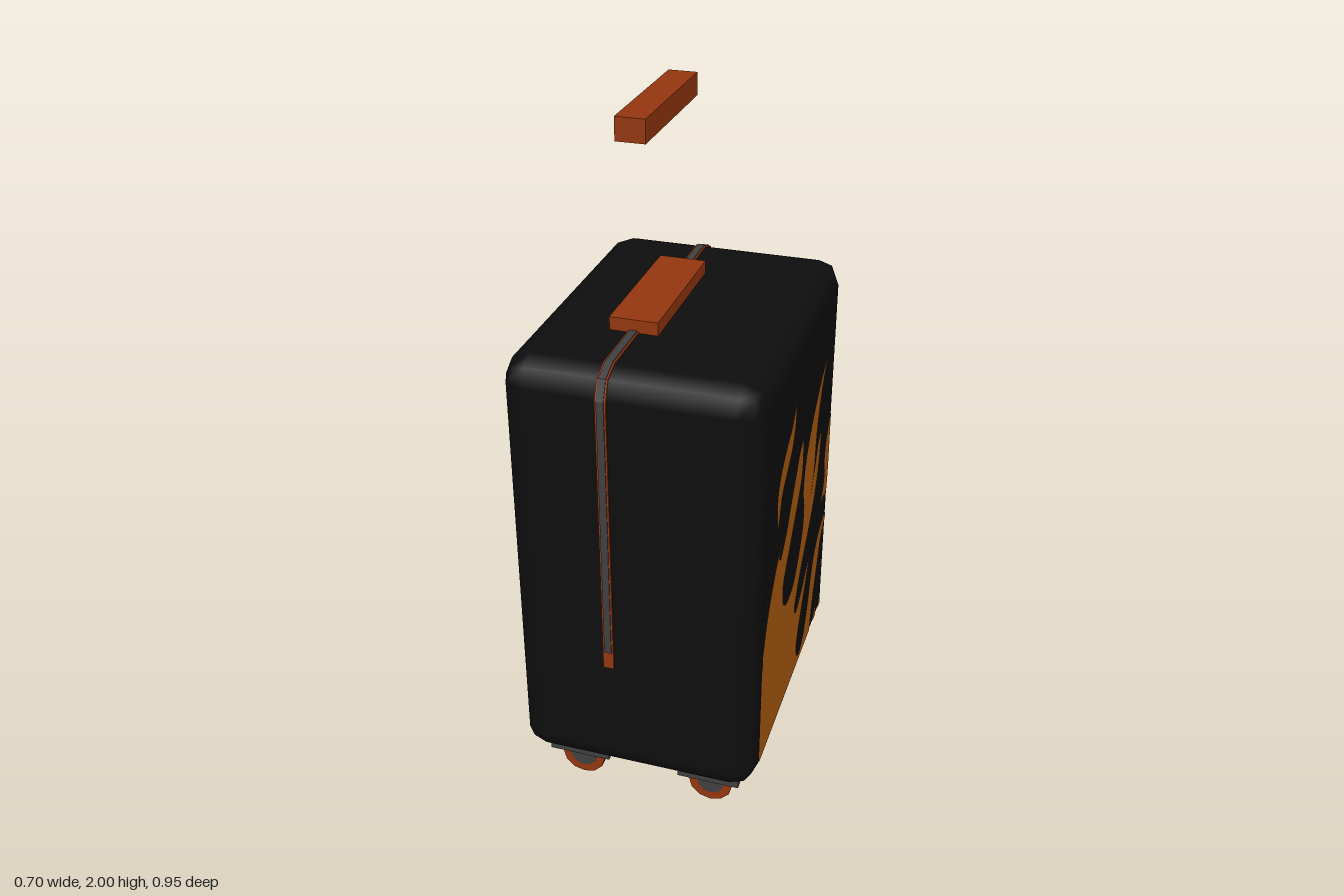
import * as THREE from 'three';
import { RoundedBoxGeometry } from 'three/addons/geometries/RoundedBoxGeometry.js';

const mat = (name, color, side = THREE.FrontSide) =>
  Object.assign(new THREE.MeshStandardMaterial({ color, side }), { name });

// Flame outlines in hundredths of a unit (across, up); each run is a smooth curve ending at a tip
const FLAME = [
  [[-40, 60], [-36.5, 69], [-31, 77.5], [-25.5, 83.5], [-21.5, 86]],
  [[-24, 82], [-22, 80.5]],
  [[-16.5, 85.5], [-12, 92], [-7.5, 98], [-3.5, 103.5], [0.5, 106.5]],
  [[1.3, 100], [0, 92], [-10, 79], [-15, 73], [-18, 68], [-17, 62], [-13.5, 59], [-9, 58.5], [-3.5, 60],
    [2, 66.5], [5.5, 73], [6, 80], [4, 86.5], [5, 94.5], [9, 101.5], [15, 108], [22, 114], [30.5, 119]],
  [[24.5, 111.5], [21, 104], [19, 96], [18, 86], [15, 79]],
  [[19.5, 87], [22.5, 93], [26, 95.5]],
  [[25.5, 89], [23.5, 81], [19.5, 73.5], [13.5, 66.5], [6, 59], [1, 52], [-1, 48.5], [1, 45.5],
    [5.5, 47], [11.5, 51], [18, 56]],
  [[15.5, 50.5], [10.5, 42.5], [6, 35], [4.5, 29.5], [6.5, 25], [11, 24.5], [15.5, 28.5], [19.5, 37],
    [22, 45], [26, 52], [32.5, 56.5], [39.5, 58]],
  [[39.5, 55.5], [34.5, 51], [31.5, 44], [27, 33.5], [24, 22]],
];
const UPPER_LICK = [
  [[-10.5, 118], [-13, 111.5], [-18, 107], [-23.5, 102.5], [-26, 96], [-27.5, 93]],
  [[-29, 98], [-29, 105], [-26, 110.5], [-20.5, 115], [-15, 118.5], [-11, 124]],
];
const SIDE_LICK = [
  [[39.5, 68], [35, 66.5], [29.5, 65.5]],
  [[33.5, 69.5], [35, 75], [33.5, 80], [35, 87.5], [39.5, 94.5]],
];

function flameShape(start, runs) {
  const shape = new THREE.Shape().moveTo(start[0] / 100, start[1] / 100);
  for (const run of runs) shape.splineThru(run.map(([u, v]) => new THREE.Vector2(u / 100, v / 100)));
  shape.closePath();
  return shape;
}

function triangle(a, b, c) {
  return new THREE.Shape([a, b, c].map(([u, v]) => new THREE.Vector2(u / 100, v / 100)));
}

// Strip that runs up the front, over the top and down the back
function wrapBand(lift, endY, x, width) {
  const arch = (t) => {
    const pts = [new THREE.Vector2(0.4 + 0.07 + t, endY)];
    for (const [side, angles] of [[1, [0, 45, 90]], [-1, [90, 135, 180]]])
      for (const a of angles) {
        const r = THREE.MathUtils.degToRad(a);
        pts.push(new THREE.Vector2(0.4 * side + (0.07 + t) * Math.cos(r), 1.36 + (0.07 + t) * Math.sin(r)));
      }
    pts.push(new THREE.Vector2(-(0.47 + t), endY));
    return pts;
  };
  const shape = new THREE.Shape([...arch(lift), ...arch(-0.01).reverse()]);
  const geo = new THREE.ExtrudeGeometry(shape, { depth: width, bevelEnabled: false });
  geo.translate(0, 0, -width / 2).rotateY(-Math.PI / 2).translate(x, 0, 0);
  return geo;
}

export function createModel() {
  const black = mat('shell black', 0x0e0e0e);
  const rust = mat('rust orange', 0x93360f);
  const grey = mat('dark grey', 0x404040);
  const amber = mat('flame amber', 0xb05d10, THREE.DoubleSide);

  const model = new THREE.Group();
  model.name = 'suitcase';
  const add = (name, geo, material, x = 0, y = 0, z = 0, parent = model) => {
    const mesh = new THREE.Mesh(geo, material);
    mesh.name = name;
    mesh.position.set(x, y, z);
    parent.add(mesh);
    return mesh;
  };

  // Shell
  add('shell', new RoundedBoxGeometry(0.7, 1.28, 0.94, 1, 0.07), black, 0, 0.79, 0);

  // Zip: rust tape with grey teeth on top
  add('zipTape', wrapBand(0.004, 0.52, -0.067, 0.03), rust);
  add('zipTeeth', wrapBand(0.007, 0.575, -0.067, 0.02), grey);

  // Handle base and raised grip
  add('handleBase', new THREE.BoxGeometry(0.134, 0.045, 0.43), rust, -0.066, 1.4445, 0);
  add('handleGrip', new THREE.BoxGeometry(0.08, 0.062, 0.43), rust, -0.066, 1.969, 0);

  // Painted flames, one set per side, turned half round
  const flames = new THREE.ShapeGeometry([
    flameShape([-40, 22], [[[-40, 41], [-40, 60]], ...FLAME]),
    flameShape([-11, 124], UPPER_LICK),
    flameShape([39.5, 94.5], SIDE_LICK),
    triangle([29, 22], [32.5, 22], [32, 28.5]),
    triangle([36, 22], [39.5, 22], [39, 26.5]),
  ], 5);
  flames.rotateY(Math.PI / 2).translate(0.352, 0, 0);
  add('leftFlames', flames, amber);
  add('rightFlames', flames, amber).rotation.y = Math.PI;

  // Four casters
  const mount = new THREE.BoxGeometry(0.184, 0.06, 0.13);
  const tyre = new THREE.CylinderGeometry(0.066, 0.066, 0.07, 12).rotateX(Math.PI / 2);
  const hub = new THREE.CylinderGeometry(0.04, 0.04, 0.074, 12).rotateX(Math.PI / 2);
  for (const x of [-0.2, 0.198])
    for (const z of [-0.323, 0.325]) {
      const caster = new THREE.Group();
      caster.name = 'caster';
      caster.position.set(x, 0, z);
      add('casterMount', mount, grey, 0, 0.125, 0, caster);
      add('casterTyre', tyre, rust, 0, 0.066, 0, caster);
      add('casterHub', hub, grey, 0, 0.067, 0, caster);
      model.add(caster);
    }

  return model;
}
